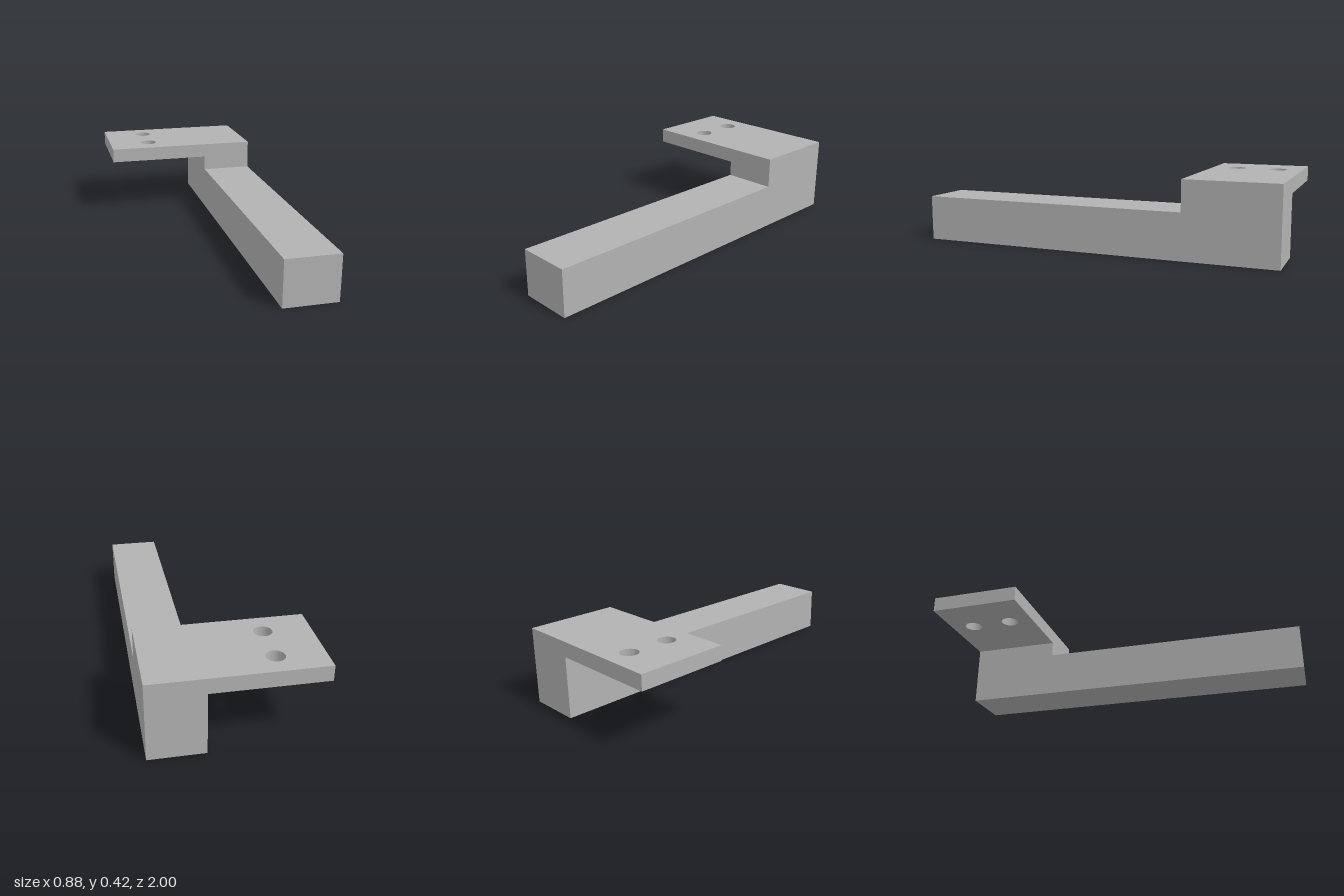
import * as THREE from 'three';
import { toCreasedNormals } from 'three/addons/utils/BufferGeometryUtils.js';

const LEFT = 0.44, RIGHT = -0.44, INNER = 0.15;   // x limits
const TOP = 0.417, BAR_TOP = 0.25, PLATE_BOTTOM = 0.335;
const BACK = 1, STEP = 0.5, FRONT = -1;           // distances towards the back (-z)

function extrude(shape, depth) {
  return new THREE.ExtrudeGeometry(shape, { depth, bevelEnabled: false, curveSegments: 32 });
}

function polygon(points) {
  return new THREE.Shape(points.map(([a, b]) => new THREE.Vector2(a, b)));
}

export function createModel() {
  const model = new THREE.Group();
  model.name = 'bracket';
  const grey = new THREE.MeshStandardMaterial({ color: 0xb2b2b2 });
  grey.name = 'grey';

  // Long bar with its raised rear block, one stepped side profile
  const profile = polygon([
    [FRONT, 0], [BACK, 0], [BACK, TOP], [STEP, TOP], [STEP, BAR_TOP], [FRONT, BAR_TOP],
  ]);
  const barGeometry = extrude(profile, LEFT - INNER);
  barGeometry.rotateY(Math.PI / 2).translate(INNER, 0, 0);
  const bar = new THREE.Mesh(barGeometry, grey);
  bar.name = 'steppedBar';
  model.add(bar);

  // Mounting plate with two screw holes
  const outline = polygon([[RIGHT, STEP], [INNER, STEP], [INNER, BACK], [RIGHT, BACK]]);
  for (const back of [0.637, 0.87]) {
    outline.holes.push(new THREE.Path().absarc(-0.195, back, 0.048, 0, Math.PI * 2, true));
  }
  const plateGeometry = extrude(outline, TOP - PLATE_BOTTOM);
  plateGeometry.rotateX(-Math.PI / 2).translate(0, PLATE_BOTTOM, 0);
  const plate = new THREE.Mesh(toCreasedNormals(plateGeometry, 0.6), grey);
  plate.name = 'mountingPlate';
  model.add(plate);

  return model;
}
